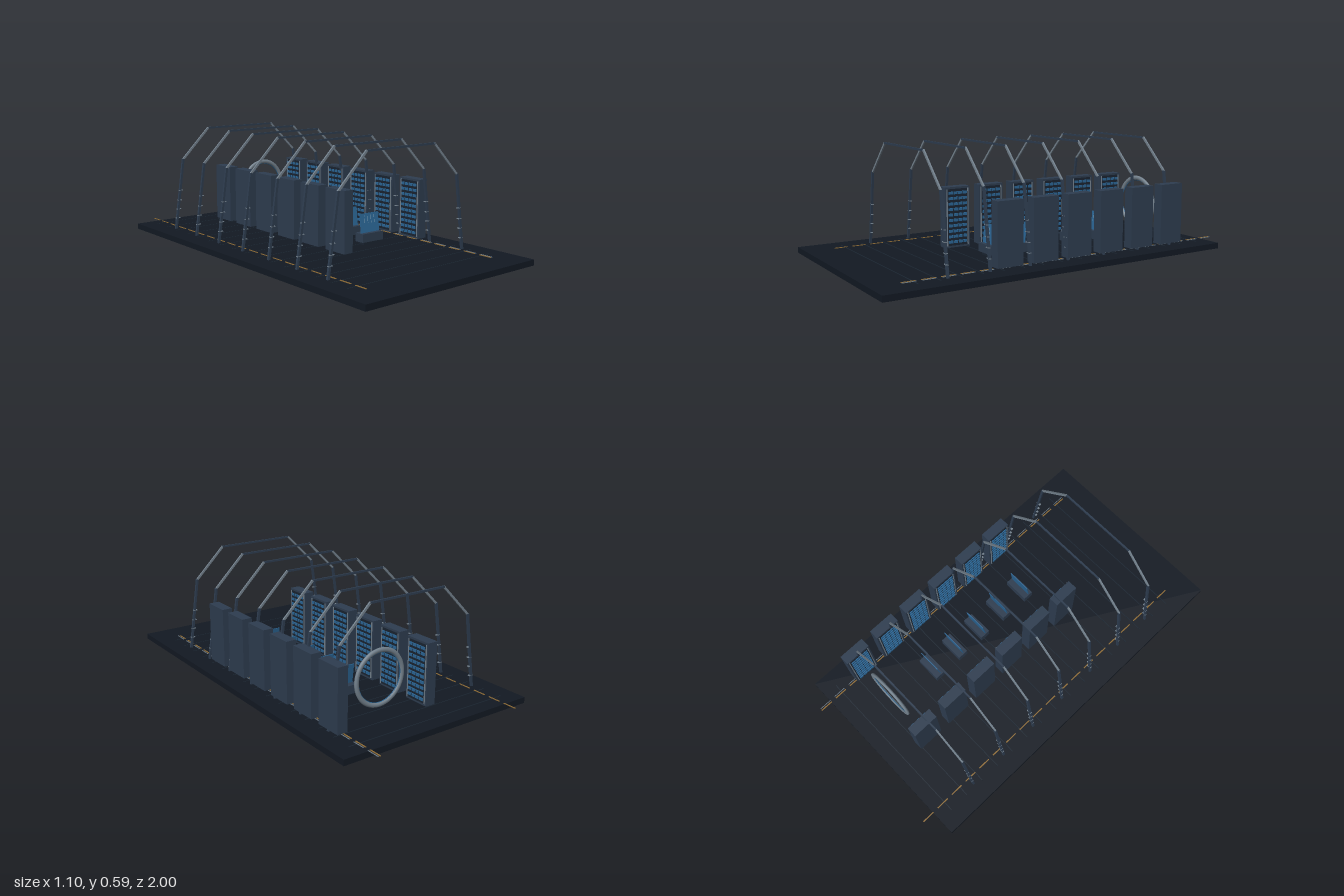
import * as THREE from 'three';

const mat = (color) => new THREE.MeshStandardMaterial({ color });
const M = {
  floor: mat(0x121923), seam: mat(0x1c2733), body: mat(0x2e3d50), dark: mat(0x1a2431),
  metal: mat(0x74828e), blue: mat(0x2b6797), pale: mat(0x7fa3bb), amber: mat(0x8f6c36),
};

function box(parent, name, material, w, h, d, x, y, z) {
  const mesh = new THREE.Mesh(new THREE.BoxGeometry(w, h, d), material);
  mesh.name = name;
  mesh.position.set(x, y, z);
  parent.add(mesh);
  return mesh;
}

// Square bar between two points in the xy plane
function bar(parent, name, material, a, b, width, depth) {
  const dx = b[0] - a[0], dy = b[1] - a[1];
  const mesh = box(parent, name, material, width, Math.hypot(dx, dy) + width * 0.5, depth,
    (a[0] + b[0]) / 2, (a[1] + b[1]) / 2, 0);
  mesh.rotation.z = Math.atan2(-dx, dy);
}

function group(parent, name, x = 0, y = 0, z = 0) {
  const g = new THREE.Group();
  g.name = name;
  g.position.set(x, y, z);
  parent.add(g);
  return g;
}

// Faceted rib with climbing pegs on both legs
function makeArch(parent, z) {
  const g = group(parent, 'archRib', 0, 0, z);
  for (const s of [-1, 1]) {
    bar(g, 'archLeg', M.body, [s * 0.443, 0.03], [s * 0.387, 0.417], 0.012, 0.012);
    bar(g, 'archShoulder', M.metal, [s * 0.387, 0.417], [s * 0.22, 0.583], 0.011, 0.008);
    for (const y of [0.09, 0.14, 0.19, 0.245]) {
      const x = 0.443 - (y - 0.03) * 0.145;
      box(g, 'legPeg', M.metal, 0.024, 0.004, 0.012, s * (x - 0.004), y, 0);
    }
  }
  bar(g, 'archCrown', M.body, [-0.22, 0.583], [0.22, 0.583], 0.01, 0.008);
}

// Equipment cabinet; the racked face looks along +x before turning
function makeCabinet(parent, x, z, turn) {
  const g = group(parent, 'cabinet', x, 0.04, z);
  g.rotation.y = turn;
  box(g, 'cabinetBody', M.body, 0.055, 0.315, 0.142, 0, 0.1575, 0);
  box(g, 'rackPanel', M.dark, 0.002, 0.295, 0.122, 0.028, 0.1575, 0);
  for (const s of [-1, 1]) box(g, 'rackRail', M.metal, 0.004, 0.295, 0.005, 0.029, 0.1575, s * 0.06);
  for (let i = 0; i < 10; i++) {
    const y = 0.03 + i * 0.0283;
    box(g, 'rackUnit', M.blue, 0.007, 0.014, 0.104, 0.0305, y, 0);
    for (const s of [-1, 0, 1])
      box(g, 'unitDivider', M.dark, 0.001, 0.014, 0.003, 0.0343, y, s * 0.027);
  }
}

// Low desk with a leaning display
function makeConsole(parent, z) {
  const g = group(parent, 'console', 0.165, 0, z);
  box(g, 'consoleFoot', M.dark, 0.11, 0.016, 0.04, 0, 0.037, 0);
  box(g, 'consoleDesk', M.body, 0.14, 0.045, 0.058, 0, 0.0675, 0);
  const screen = group(g, 'display', 0, 0.09, 0.006);
  screen.rotation.x = -0.13;
  box(screen, 'displayPanel', M.blue, 0.127, 0.1, 0.004, 0, 0.05, 0);
  for (let i = 0; i < 4; i++)
    box(screen, 'displayTrace', M.pale, 0.002, 0.042, 0.001, -0.033 + i * 0.022, 0.068, 0.0022);
}

export function createModel() {
  const model = new THREE.Group();
  model.name = 'arcadeHall';

  // Floor slab with cross seams
  box(model, 'floorSlab', M.floor, 1.1, 0.03, 1.933, 0, 0.015, 0.0335);
  for (let i = 0; i < 16; i++)
    box(model, 'floorSeam', M.seam, 0.93, 0.002, 0.004, 0, 0.031, -0.855 + i * 0.11);

  // Guide lights along both edges and a conduit beside one of them
  for (let i = 0; i < 19; i++) {
    const z = -0.965 + i * 0.099;
    for (const s of [-1, 1])
      box(model, 'guideLight', M.amber, 0.006, 0.003, 0.07, s * 0.409, 0.0325, z);
    box(model, 'conduit', M.metal, 0.003, 0.003, 0.07, 0.42, 0.0325, z);
  }

  for (let i = 0; i < 7; i++) makeArch(model, 0.64 - i * 0.22);

  // Two facing rows of cabinets
  for (let i = 0; i < 6; i++) {
    const z = 0.313 - i * 0.1993;
    makeCabinet(model, -0.095, z, 0);
    makeCabinet(model, 0.422, z, Math.PI);
  }

  for (let i = 0; i < 5; i++) makeConsole(model, 0.253 - i * 0.1663);

  // Ring gate at the end of the aisle
  const gate = group(model, 'ringGate', 0.165, 0.222, -0.69);
  const rings = [['gateRing', M.metal, 0.133, 0.012], ['gateInnerGlow', M.blue, 0.122, 0.003]];
  for (const [name, material, radius, tube] of rings) {
    const ring = new THREE.Mesh(new THREE.TorusGeometry(radius, tube, 10, 48), material);
    ring.name = name;
    ring.scale.z = 0.7;
    gate.add(ring);
  }
  return model;
}
